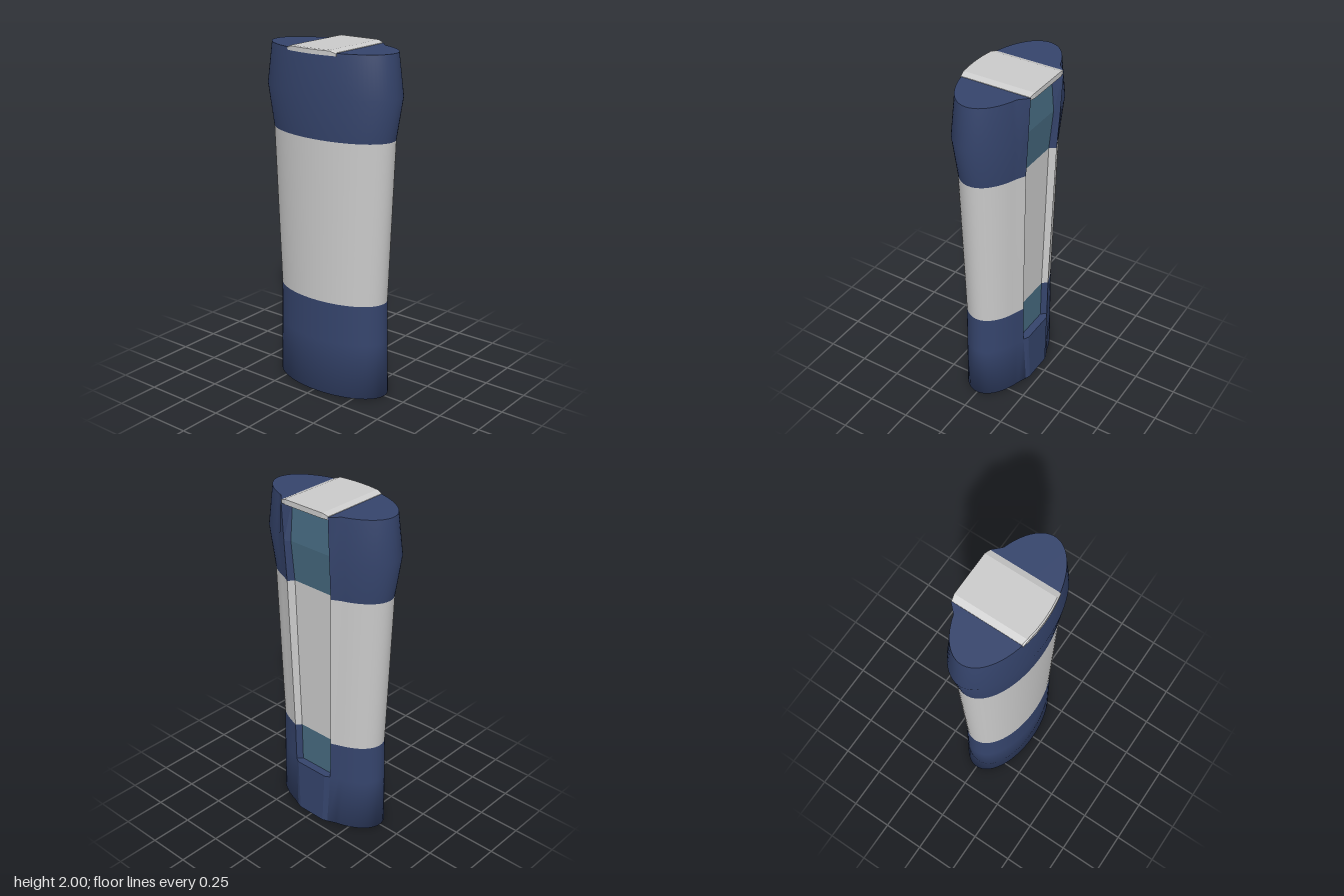
import * as THREE from 'three';

const mat = (color, flatShading = false) =>
  new THREE.MeshStandardMaterial({ color, flatShading, side: THREE.DoubleSide });
const BLUE = 0x35446c, GREY = 0xcccccc, TEAL = 0x466a80;

// Cross-section levels: height, half width, half depth, ridge depth, channel half width, channel floor depth
const LEVELS = [
  [0, 0.37, 0.19, 0.19, 0.12, 0.165],
  [0.33, 0.362, 0.19, 0.18, 0.135, 0.15],
  [0.57, 0.357, 0.19, 0.18, 0.14, 0.15],
  [1.51, 0.397, 0.205, 0.2, 0.16, 0.165],
  [1.75, 0.437, 0.225, 0.214, 0.163, 0.187],
  [1.985, 0.405, 0.207, 0.226, 0.165, 0.165],
];
const ARC = 64;

// Skin a list of equal-length point rows; optionally close the first row with a centre point
function skin(rows, centre) {
  const n = rows[0].length, index = [];
  const pos = rows.flat(2);
  for (let i = 0; i < rows.length - 1; i++)
    for (let j = 0; j < n - 1; j++) {
      const a = i * n + j, b = a + n;
      index.push(a, b, a + 1, a + 1, b, b + 1);
    }
  if (centre) {
    pos.push(...centre);
    const c = rows.length * n;
    for (let j = 0; j < n - 1; j++) index.push(c, j, j + 1);
  }
  const g = new THREE.BufferGeometry();
  g.setAttribute('position', new THREE.Float32BufferAttribute(pos, 3));
  g.setIndex(index);
  g.computeVertexNormals();
  return g;
}

// Outer oval of a level, running from one back ridge round the front to the other
function oval([y, rx, rz, ridge, c]) {
  const t0 = Math.asin((c + 0.05) / rx);
  const pts = [[c, y, -ridge]];
  for (let i = 0; i <= ARC; i++) {
    const t = t0 + (2 * Math.PI - 2 * t0) * i / ARC;
    pts.push([rx * Math.sin(t), y, -rz * Math.cos(t)]);
  }
  pts.push([-c, y, -ridge]);
  return pts;
}
const wall = (s) => ([y, , , ridge, c, floor]) => {
  const edge = [s * c, y, -ridge], foot = [s * (c - 0.025), y, -floor];
  return s < 0 ? [edge, foot] : [foot, edge];
};
const floorRow = ([y, , , , c, floor]) => [[0.025 - c, y, -floor], [c - 0.025, y, -floor]];

export function createModel() {
  const model = new THREE.Group();
  const add = (parent, name, geo, color, flat) => {
    const m = new THREE.Mesh(geo, mat(color, flat));
    m.name = name;
    parent.add(m);
    return m;
  };

  // Three stacked bands, each with its stretch of the back channel
  const bands = [
    ['base', 0, 2, BLUE, TEAL],
    ['grip', 2, 3, GREY, GREY],
    ['head', 3, 5, BLUE, TEAL],
  ];
  for (const [name, from, to, color, floorColor] of bands) {
    const part = new THREE.Group();
    part.name = name;
    const levels = LEVELS.slice(from, to + 1);
    add(part, name + 'Shell', skin(levels.map(oval), from === 0 ? [0, 0.02, 0] : null), color);
    for (const s of [-1, 1])
      add(part, name + 'ChannelWall', skin(levels.map(wall(s))), color, true);
    add(part, name + 'ChannelFloor', skin(levels.map(floorRow)), floorColor, true);
    model.add(part);
  }

  // Raised filler at the foot of the channel, with a ledge on top
  const filler = (y, c, ridge, z) =>
    [[-c, y, -ridge], [0.03 - c, y, -z], [c - 0.03, y, -z], [c, y, -ridge]];
  const foot = filler(0, 0.12, 0.19, 0.2), head = filler(0.33, 0.135, 0.18, 0.197);
  const inner = head.map(([x, y]) => [x * 0.85, y, -0.15]);
  add(model, 'channelFiller', skin([foot, head, inner], [0, 0.02, 0]), BLUE, true);

  // Flat oval lid
  const top = LEVELS[5];
  const rim = [...oval(top), ...floorRow(top)];
  rim.push(rim[0]);
  add(model, 'lid', skin([rim.reverse()], [0, 1.985, 0]), BLUE);

  // Strap across the lid: rounded front, chamfered sides, slight overhang at the back
  const strap = [-0.165, -0.13, -0.065, 0, 0.065, 0.13, 0.165].map((x) => {
    const side = Math.abs(x) > 0.14;
    const zf = 0.21 * Math.sqrt(1 - (x / 0.405) ** 2) + 0.002;
    const zb = side ? -0.222 : -0.23, y = side ? 1.988 : 2;
    return [[x, 1.97, zf], [x, y - 0.005, zf], [x, y, zf - 0.008], [x, y, zb], [x, 1.97, zb], [x, 1.97, zf]];
  });
  add(model, 'lidStrap', skin(strap.reverse()), GREY, true);
  for (const row of [strap[0], strap[strap.length - 1]])
    add(model, 'strapEnd', skin([row], [row[0][0], 1.978, 0]), GREY, true);

  return model;
}
